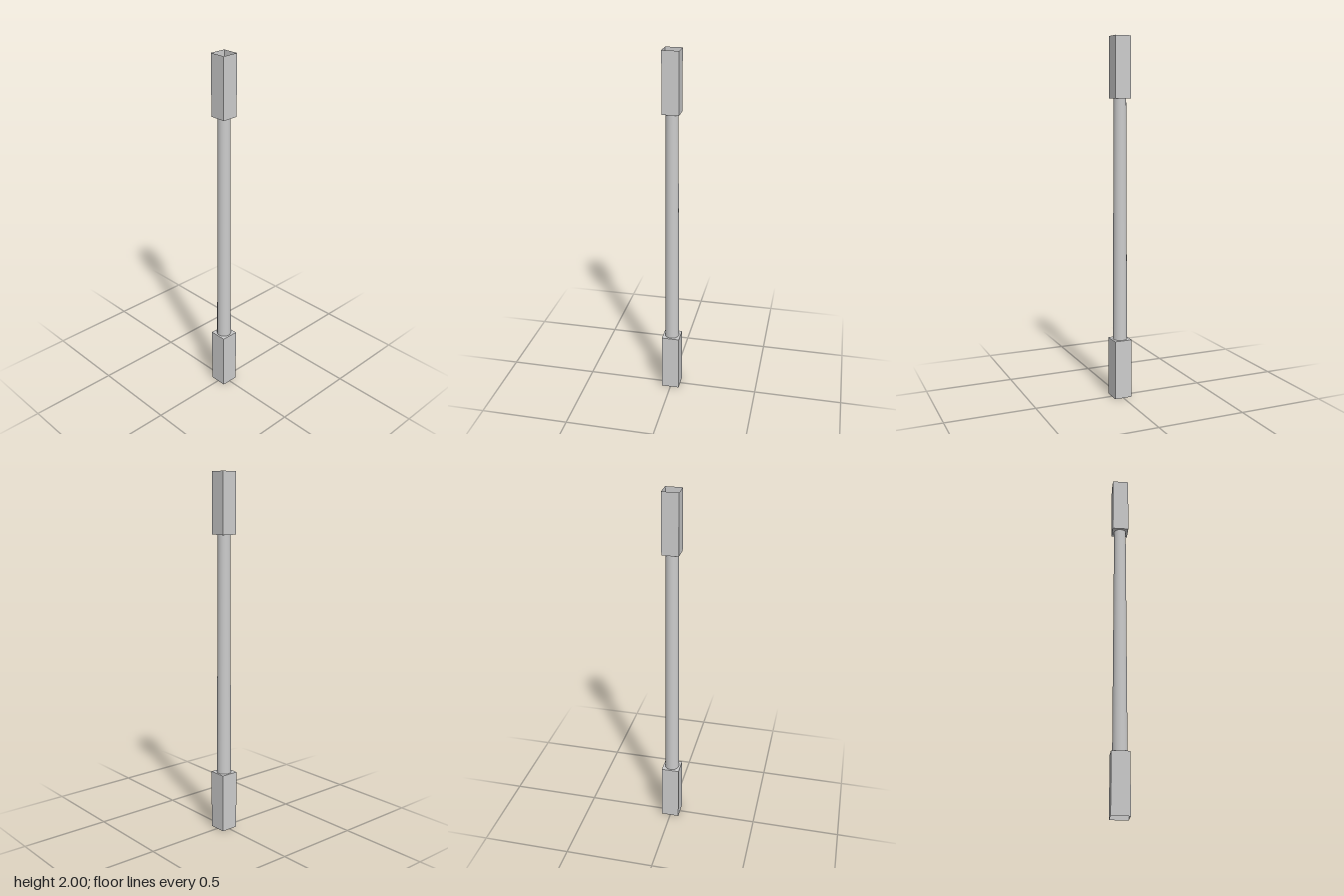
import * as THREE from 'three';

const material = new THREE.MeshStandardMaterial({ color: 0xcccccc, side: THREE.DoubleSide });

// Thin square sleeve, closed toward the shaft and open at its outer end
function sleeve(name, width, bottom, top, openFace) {
  const geometry = new THREE.BoxGeometry(width, top - bottom, width);
  const index = Array.from(geometry.index.array);
  index.splice(openFace * 6, 6); // drop the open face
  geometry.setIndex(index);
  geometry.clearGroups();
  geometry.translate(0, (top + bottom) / 2, 0);
  const mesh = new THREE.Mesh(geometry, material);
  mesh.name = name;
  return mesh;
}

export function createModel() {
  const model = new THREE.Group();
  model.name = 'post';

  const lowY = 0.333, highY = 1.67;
  const TOP_FACE = 2, BOTTOM_FACE = 3;

  // Square end sleeves, the upper one slightly slimmer
  model.add(sleeve('bottomSleeve', 0.1, 0, lowY, BOTTOM_FACE));
  model.add(sleeve('topSleeve', 0.091, highY, 2, TOP_FACE));

  // Round shaft, tapering gently upward
  const shaft = new THREE.Mesh(
    new THREE.CylinderGeometry(0.034, 0.04, highY - lowY, 32, 1, true),
    material
  );
  shaft.name = 'shaft';
  shaft.position.y = (lowY + highY) / 2;
  model.add(shaft);

  return model;
}
